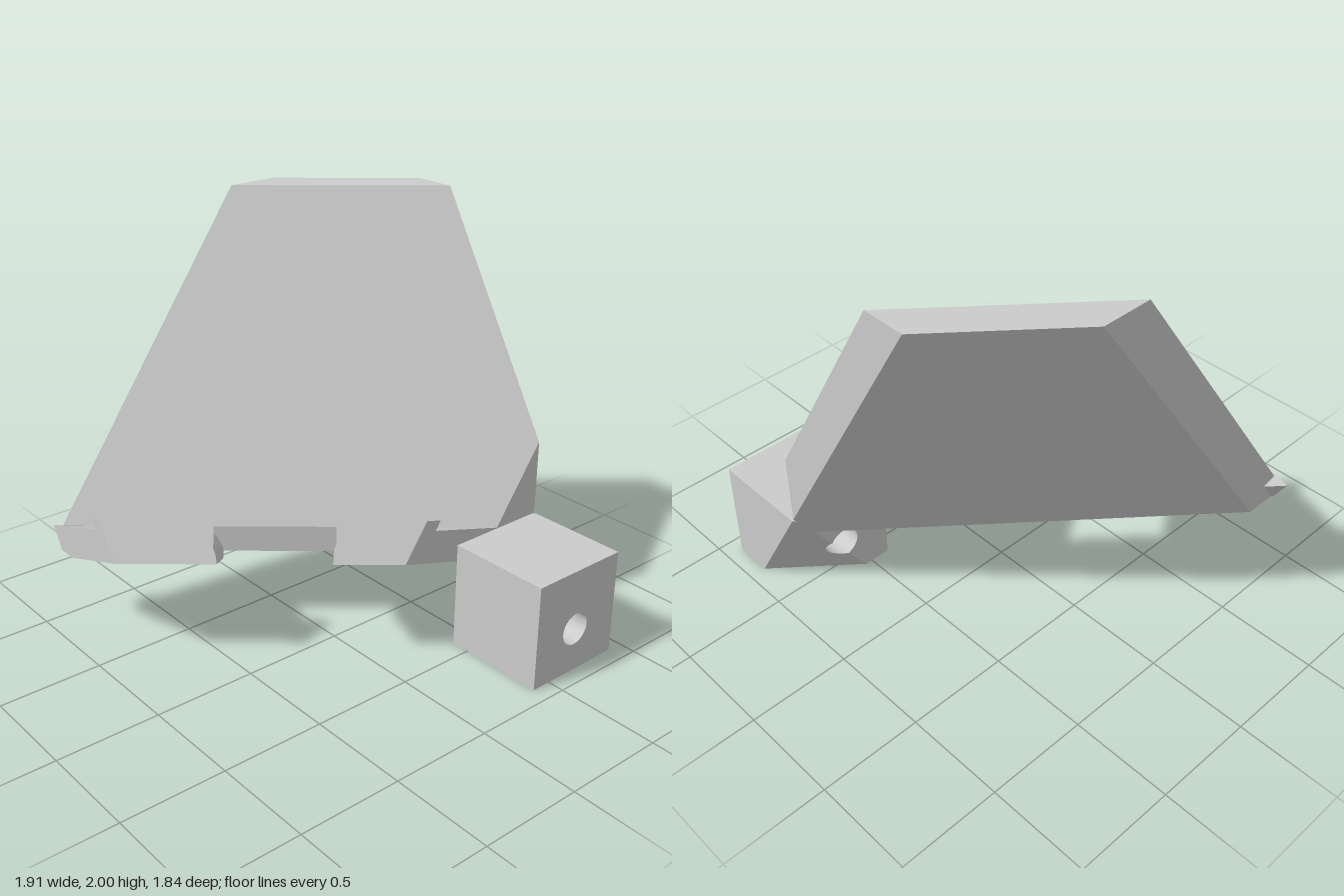
import * as THREE from 'three';
import { ConvexGeometry } from 'three/addons/geometries/ConvexGeometry.js';
import { toCreasedNormals } from 'three/addons/utils/BufferGeometryUtils.js';

const material = new THREE.MeshStandardMaterial({ color: 0xcccccc });
const E = 0.918;      // outer limit of the bracket in x and z
const XR = 0.405;     // side of the block that meets the plate

// Horizontal facing direction of the plate (NX, NZ) and its backward lean
const NX = 0.764, NZ = 0.645, LEAN = 0.454;
const COS = 1 / Math.hypot(1, LEAN), SIN = LEAN * COS;
const along = new THREE.Vector3(NZ, 0, -NX);                 // along the lower edge
const out = new THREE.Vector3(NX * COS, SIN, NZ * COS);      // away from the plate
const up = new THREE.Vector3(-NX * SIN, COS, -NZ * SIN);     // up the plate

// Distance along the facing direction at height y
const frontS = y => -0.116 - (y - 0.53) * LEAN;
const backS = y => -0.218 - (y - 0.4) * LEAN;

function mesh(name, geometry) {
  const m = new THREE.Mesh(geometry, material);
  m.name = name;
  return m;
}

// Leaning plate, trimmed square on its sides
function plate() {
  const atX = (x, y, s) => new THREE.Vector3(x, y, (s - NX * x) / NZ);
  const atZ = (z, y, s) => new THREE.Vector3((s - NZ * z) / NX, y, z);
  const corner = NX * XR - NZ * E;
  const points = [
    atX(-E, 0.53, frontS(0.53)), atX(XR, 0.53, frontS(0.53)),
    atX(-E, 0.4, frontS(0.53)), atX(XR, 0.4, frontS(0.53)),
    atX(-E, 0.4, backS(0.4)), atX(XR, 0.4, backS(0.4)),
    atX(-E, 2, frontS(2)), atZ(-E, 2, frontS(2)),
    atX(-E, 2, backS(2)), atZ(-E, 2, backS(2)),
    new THREE.Vector3(XR, 0.53 + (-0.116 - corner) / LEAN, -E),
    new THREE.Vector3(XR, 0.4 + (-0.218 - corner) / LEAN, -E),
  ];
  return mesh('plate', new ConvexGeometry(points));
}

// Block with a cross hole, its inner back corner cut off in line with the plate
function block() {
  const group = new THREE.Group();
  group.name = 'mountingBlock';
  const top = 0.525, cz = -0.655, cy = 0.22, r = 0.08;
  const cutZ = y => (backS(y) - NX * XR) / NZ;
  const arc = (from, to) => Array.from({ length: 25 }, (_, i) => {
    const a = from + (to - from) * i / 24;
    return [cz + r * Math.cos(a), cy + r * Math.sin(a)];
  });
  // The cut line crosses the hole at these two angles
  const tilt = Math.atan2(LEAN, NZ);
  const gap = (cz - cutZ(cy)) * Math.cos(tilt);
  const half = Math.acos(gap / r), mid = Math.PI + tilt;
  const a1 = mid - half, a2 = mid + half;
  const halves = {
    blockFront: [[cutZ(0), 0], [-0.4, 0], [-0.4, top], [cutZ(top), top],
      ...arc(a1, a2 - 2 * Math.PI)],
    blockBack: [[cutZ(0), 0], ...arc(a2, a1), [cutZ(top), top], [-E, top], [-E, 0]],
  };
  for (const [name, outline] of Object.entries(halves)) {
    const shape = new THREE.Shape(outline.map(([z, y]) => new THREE.Vector2(-z, y)));
    const g = new THREE.ExtrudeGeometry(shape, { depth: E - XR, bevelEnabled: false });
    g.rotateY(Math.PI / 2).translate(XR, 0, 0);
    const p = g.attributes.position;
    for (let i = 0; i < p.count; i++) {
      const cut = (backS(p.getY(i)) - NZ * p.getZ(i)) / NX;
      p.setX(i, Math.max(p.getX(i), cut));
    }
    group.add(mesh(name, toCreasedNormals(g, 0.5)));
  }
  return group;
}

// Hooked tab: rounded at its inner end, trimmed flush at its outer end
function tab(name, end, side) {
  const group = new THREE.Group();
  group.name = name;

  const extrude = (points, depth) => new THREE.ExtrudeGeometry(
    new THREE.Shape(points.map(([t, w]) => new THREE.Vector2(end + side * t, w))),
    { depth, bevelEnabled: false });

  const place = (g, basis) => {
    const p = g.attributes.position, v = new THREE.Vector3();
    for (let i = 0; i < p.count; i++) {
      v.fromBufferAttribute(p, i);
      const far = Math.abs(v.x - end) > 0.9;
      v.applyMatrix4(basis);
      // level underside
      if (v.y < 0.4) v.addScaledVector(out, (0.4 - v.y) / SIN);
      // slide the outer end along the tab onto the trimming plane
      if (far) v.addScaledVector(along, side > 0 ? (XR - v.x) / NZ : (v.z - E) / NX);
      p.setXYZ(i, v.x, v.y, v.z);
    }
    return toCreasedNormals(g, 0.5);
  };

  const body = [];
  for (let i = 0; i <= 14; i++) {
    const a = i / 14 * Math.PI / 2;
    body.push([0.13 * (1 - Math.cos(a)), 0.38 + 0.15 * Math.sin(a)]);
  }
  body.push([1, 0.53], [1, 0.412], [1, 0.38]);
  const bodyGeometry = extrude(body, 0.4).translate(0, 0, 0.06);
  group.add(mesh('tabBody',
    place(bodyGeometry, new THREE.Matrix4().makeBasis(along, up, out))));

  // Raised lip on the tab's outer edge, its inner wall curving to the end
  const lip = [[0.015, 0.46], [0.02, 0.447], [0.04, 0.427], [0.07, 0.412],
    [0.12, 0.4], [1, 0.4], [1, 0.46]];
  const lipGeometry = extrude(lip, 0.195).translate(0, 0, -0.577);
  const down = up.clone().negate();
  group.add(mesh('tabLip',
    place(lipGeometry, new THREE.Matrix4().makeBasis(along, out, down))));
  return group;
}

export function createModel() {
  const model = new THREE.Group();
  model.name = 'bracket';
  model.add(plate(), block(), tab('leftTab', -0.005, 1), tab('rightTab', -0.525, -1));
  return model;
}
